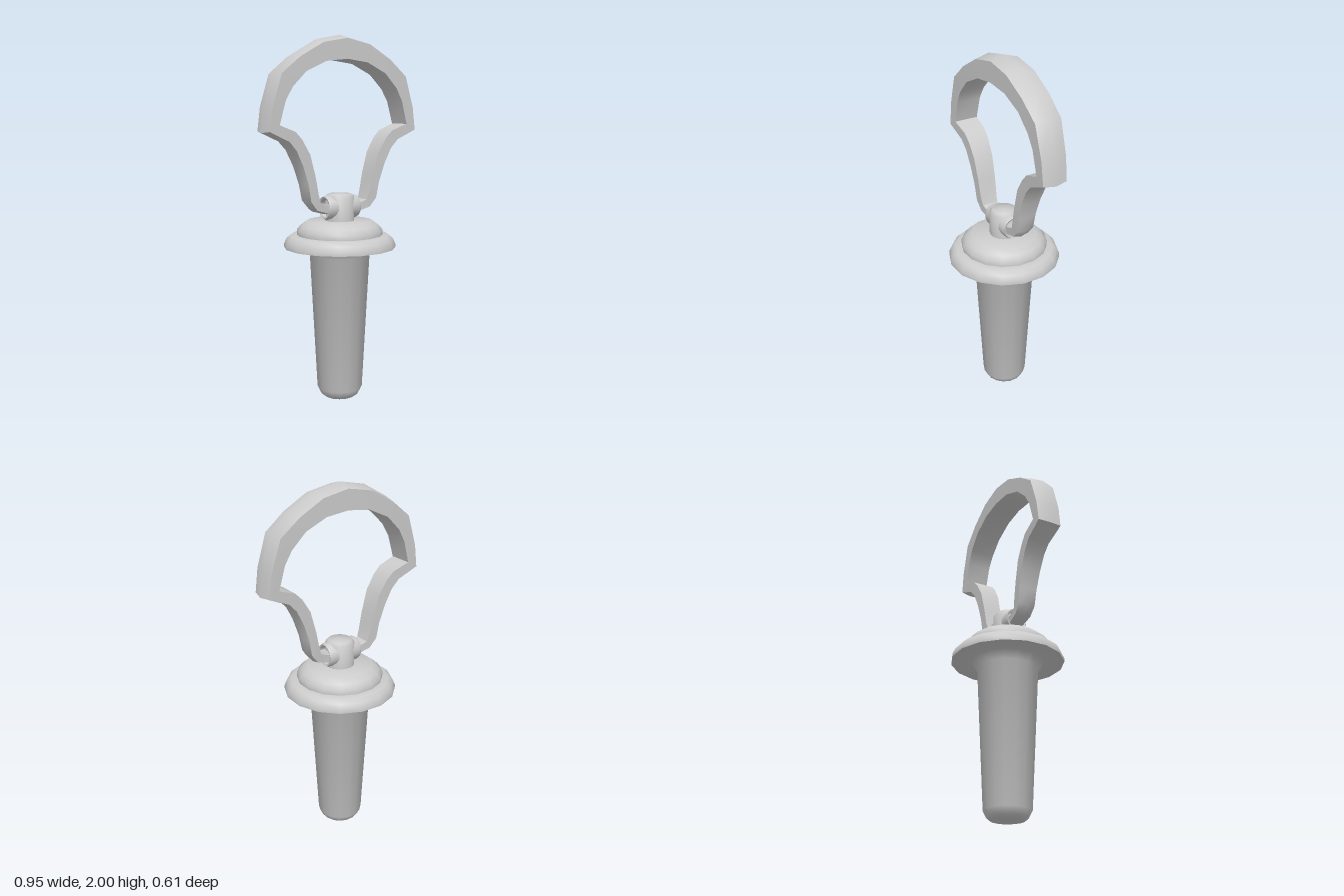
import * as THREE from 'three';
import { toCreasedNormals } from 'three/addons/utils/BufferGeometryUtils.js';

const material = new THREE.MeshStandardMaterial({ color: 0xcccccc });

function addMesh(group, name, geometry, crease = 0.95) {
  const mesh = new THREE.Mesh(toCreasedNormals(geometry, crease), material);
  mesh.name = name;
  group.add(mesh);
  return mesh;
}

// Lathe from [radius, y] pairs, running from bottom to top
function turned(profile, sides) {
  const points = profile.map(([r, y]) => new THREE.Vector2(r, y));
  return new THREE.LatheGeometry(points, sides, Math.PI / sides);
}

// Half of the strap, from the left socket to the crown:
// [outer x, outer y, inner x, inner y, half width]
const halfStrap = [
  [0.05, 1.04, 0.05, 1.09, 0.035],
  [0.10, 1.04, 0.10, 1.09, 0.04],
  [0.175, 1.06, 0.15, 1.11, 0.045],
  [0.22, 1.11, 0.165, 1.155, 0.05],
  [0.237, 1.20, 0.185, 1.25, 0.053],
  [0.27, 1.295, 0.22, 1.37, 0.057],
  [0.31, 1.38, 0.27, 1.45, 0.06],
  [0.355, 1.43, 0.31, 1.49, 0.063],
  [0.476, 1.485, 0.405, 1.525, 0.068],
  [0.462, 1.61, 0.37, 1.65, 0.07],
  [0.405, 1.80, 0.33, 1.72, 0.073],
  [0.29, 1.89, 0.25, 1.80, 0.076],
  [0.15, 1.97, 0.13, 1.855, 0.078],
  [0, 2.0, 0, 1.87, 0.078],
];

// Strap skinned over five-cornered sections with a crowned outer face
function strapGeometry() {
  const mirrored = halfStrap.slice(0, -1).reverse().map(([a, b, c, d, w]) => [-a, b, -c, d, w]);
  const stations = [...halfStrap, ...mirrored];
  const positions = [], index = [], n = 5;
  for (const [ox, oy, ix, iy, w] of stations) {
    const ex = ox + (ix - ox) * 0.17, ey = oy + (iy - oy) * 0.17;
    positions.push(ex, ey, w, ox, oy, 0, ex, ey, -w, ix, iy, -w, ix, iy, w);
  }
  for (let s = 0; s < stations.length - 1; s++) {
    for (let k = 0; k < n; k++) {
      const a = s * n + k, b = s * n + (k + 1) % n;
      index.push(a, b, b + n, a, b + n, a + n);
    }
  }
  const last = (stations.length - 1) * n;
  for (let k = 1; k < n - 1; k++) {
    index.push(0, k + 1, k, last, last + k, last + k + 1);
  }
  const geometry = new THREE.BufferGeometry();
  geometry.setAttribute('position', new THREE.Float32BufferAttribute(positions, 3));
  geometry.setIndex(index);
  return geometry;
}

export function createModel() {
  const group = new THREE.Group();

  // Tapered plug with flange and stepped cap
  addMesh(group, 'plugBody', turned([
    [0, 0], [0.09, 0], [0.108, 0.015], [0.126, 0.05], [0.166, 0.81], [0.2, 0.852],
    [0.309, 0.852], [0.309, 0.868], [0.295, 0.9], [0.272, 0.92],
    [0.237, 0.922], [0.237, 0.95], [0.215, 0.975], [0.18, 1.0], [0, 1.0],
  ], 16));

  // Upright post on the cap
  addMesh(group, 'post', turned([
    [0.08, 0.99], [0.08, 1.13], [0.066, 1.147], [0, 1.15],
  ], 16));

  // Hollow sockets on both sides of the post
  for (const side of [-1, 1]) {
    const socket = addMesh(group, side > 0 ? 'leftSocket' : 'rightSocket', turned([
      [0.066, 0], [0.066, 0.09], [0.06, 0.102], [0.05, 0.098], [0.046, 0.06], [0, 0.06],
    ], 16));
    socket.rotation.z = -side * Math.PI / 2;
    socket.position.y = 1.075;
  }

  // Pull loop hinged in the sockets
  addMesh(group, 'pullLoop', strapGeometry(), 0.85);

  return group;
}
